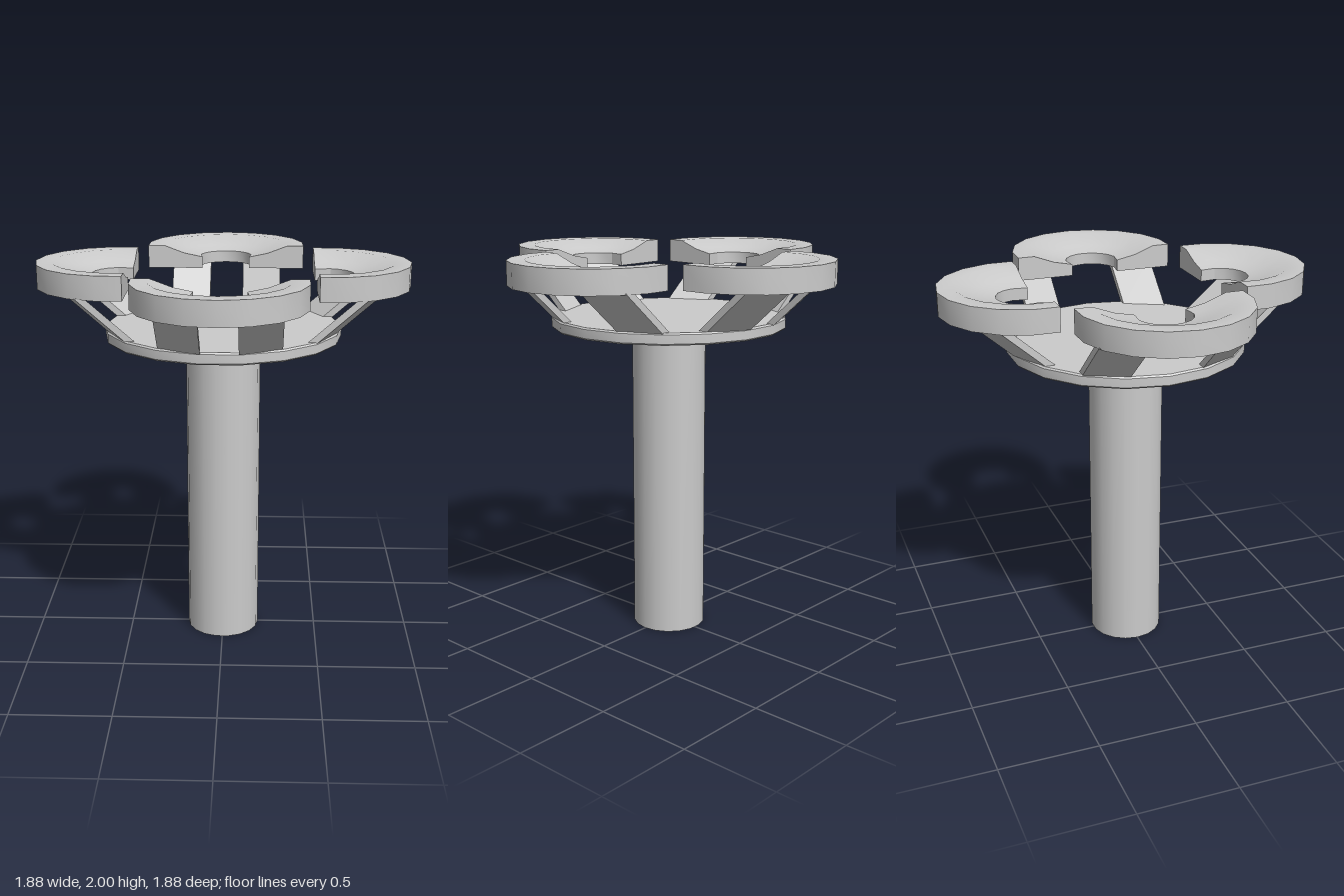
import * as THREE from 'three';
import { toCreasedNormals } from 'three/addons/utils/BufferGeometryUtils.js';

const material = new THREE.MeshStandardMaterial({ color: 0xcccccc });
const SIDES = 18;

function addMesh(parent, geometry, name) {
  const mesh = new THREE.Mesh(geometry, material);
  mesh.name = name;
  parent.add(mesh);
  return mesh;
}

// Dished, horseshoe-shaped tray: one profile swept round and cut straight at the inner side
function trayGeometry() {
  const centre = 0.52, cut = -0.055;
  const profile = [[0.137, 1.88], [0.42, 1.88], [0.42, 2], [0.335, 2], [0.23, 1.96], [0.137, 1.94]];
  const n = profile.length;
  const positions = [], index = [];
  const endSection = (side) => profile.forEach(([r, y]) =>
    positions.push(side * Math.sqrt(r * r - cut * cut), y, centre + cut));

  endSection(1);
  for (let deg = 10; deg <= 170; deg += 20) {
    const a = THREE.MathUtils.degToRad(deg);
    profile.forEach(([r, y]) => positions.push(r * Math.cos(a), y, centre + r * Math.sin(a)));
  }
  endSection(-1);

  const sections = positions.length / 3 / n;
  for (let i = 0; i < sections - 1; i++) {
    for (let j = 0; j < n; j++) {
      const k = (j + 1) % n;
      const a = i * n + j, b = i * n + k, c = a + n, d = b + n;
      index.push(a, b, d, a, d, c);
    }
  }
  // Flat cut ends
  const last = (sections - 1) * n;
  for (let k = 1; k < n - 1; k++) {
    index.push(0, k + 1, k, last, last + k, last + k + 1);
  }
  const geometry = new THREE.BufferGeometry();
  geometry.setAttribute('position', new THREE.Float32BufferAttribute(positions, 3));
  geometry.setIndex(index);
  return toCreasedNormals(geometry, 0.42);
}

// Board leaning outwards from the plate to the tray, turned a little towards the side
function strutGeometry(s0, s1) {
  const geometry = new THREE.BoxGeometry(1, 1, 1);
  const p = geometry.attributes.position;
  for (let i = 0; i < p.count; i++) {
    const u = p.getX(i) + 0.5, v = p.getY(i) + 0.5, w = p.getZ(i) + 0.5;
    const s = THREE.MathUtils.lerp(s0, s1, u);
    p.setXYZ(i, s, 1.675 + 0.21 * v, 0.6 - 0.5 * Math.abs(s) + 0.05 * w + 0.24 * v);
  }
  return toCreasedNormals(geometry, 0.4);
}

export function createModel() {
  const model = new THREE.Group();
  model.name = 'pedestalStand';

  // Central post
  const post = addMesh(model, new THREE.CylinderGeometry(0.19, 0.19, 1.63, SIDES), 'post');
  post.position.y = 0.815;
  post.rotation.y = Math.PI / 2;

  // Round plate with a small chamfer
  const rim = [[0, 1.62], [0.592, 1.62], [0.6, 1.628], [0.6, 1.672], [0.592, 1.68], [0, 1.68]];
  const plate = new THREE.LatheGeometry(rim.map(([r, y]) => new THREE.Vector2(r, y)), SIDES);
  addMesh(model, toCreasedNormals(plate, 0.42), 'plate').rotation.y = Math.PI / 2;

  // Four trays, each on two struts
  const tray = trayGeometry();
  ['front', 'left', 'back', 'right'].forEach((side, i) => {
    const arm = new THREE.Group();
    arm.name = side + 'Arm';
    arm.rotation.y = i * Math.PI / 2;
    addMesh(arm, tray, side + 'Tray');
    const [near, far] = i % 2 ? [0.18, 0.38] : [0.09, 0.295];
    addMesh(arm, strutGeometry(near, far), side + 'StrutA');
    addMesh(arm, strutGeometry(-far, -near), side + 'StrutB');
    model.add(arm);
  });
  return model;
}
